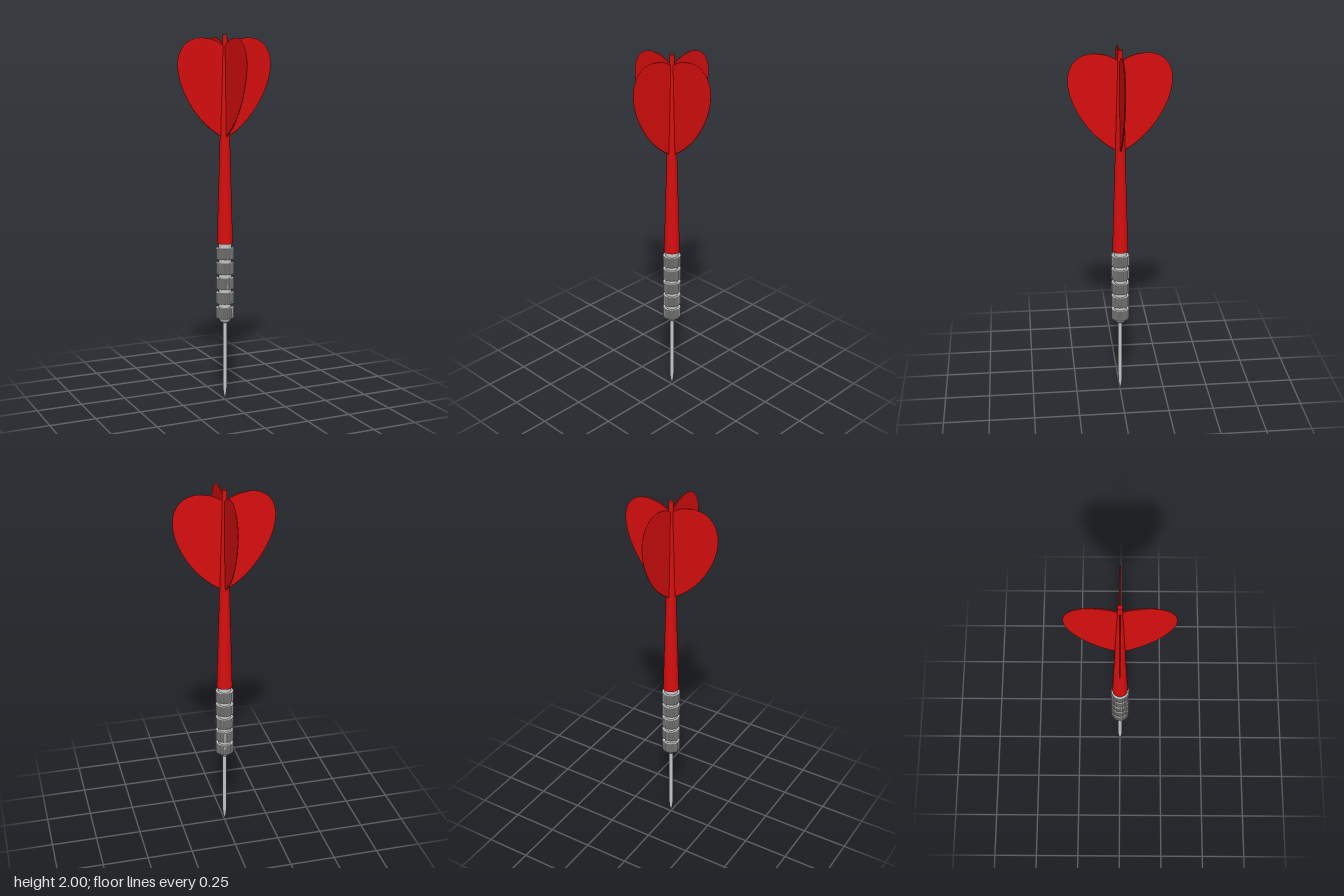
import * as THREE from 'three';

export function createModel() {
  const dart = new THREE.Group();
  dart.name = 'dart';
  const red = new THREE.MeshStandardMaterial({ name: 'red plastic', color: 0xd80e0e });
  const silver = new THREE.MeshStandardMaterial({ name: 'silver metal', color: 0xc6c6c6 });

  const add = (name, geometry, material) => {
    const mesh = new THREE.Mesh(geometry, material);
    mesh.name = name;
    dart.add(mesh);
    return mesh;
  };
  // Profile of [radius, height] pairs, listed from bottom to top
  const lathe = (profile, sides = 32) =>
    new THREE.LatheGeometry(profile.map(([r, y]) => new THREE.Vector2(r, y)), sides);

  // Steel point with a sharpened tip
  add('point', lathe([[0, 0], [0.003, 0.015], [0.008, 0.04], [0.011, 0.07], [0.0115, 0.1], [0.0115, 0.46]], 24), silver);

  // Barrel core with a rounded nose
  add('barrelNose', lathe([[0, 0.443], [0.018, 0.443], [0.026, 0.449], [0.034, 0.462], [0.037, 0.48]]), silver);
  const core = add('barrelCore', new THREE.CylinderGeometry(0.035, 0.035, 0.41, 32), silver);
  core.position.y = 0.682;

  // Knurled grip rings: toothed outline extruded upward
  const teeth = 28;
  const outline = new THREE.Shape();
  for (let i = 0; i < teeth * 4; i++) {
    const r = i % 4 < 2 ? 0.05 : 0.0465;
    const a = (i / (teeth * 4)) * Math.PI * 2;
    outline[i ? 'lineTo' : 'moveTo'](r * Math.cos(a), r * Math.sin(a));
  }
  outline.closePath();
  const ringGeometry = new THREE.ExtrudeGeometry(outline, { depth: 0.058, bevelEnabled: false });
  ringGeometry.rotateX(-Math.PI / 2);
  for (let i = 0; i < 5; i++) {
    add('gripRing' + (i + 1), ringGeometry, silver).position.y = 0.471 + i * 0.0823;
  }

  // Tapered shaft
  const shaft = add('shaft', new THREE.CylinderGeometry(0.012, 0.043, 1.115, 32), red);
  shaft.position.y = 0.885 + 1.115 / 2;

  // Four flights, each half of a heart, thinning towards the outer edge
  const half = new THREE.Shape();
  half.moveTo(0, 1.455);
  half.bezierCurveTo(0.12, 1.5, 0.27, 1.69, 0.27, 1.845);
  half.bezierCurveTo(0.27, 1.93, 0.215, 1.985, 0.135, 1.985);
  half.bezierCurveTo(0.085, 1.985, 0.035, 1.97, 0, 1.935);
  half.closePath();
  const flightGeometry = new THREE.ExtrudeGeometry(half, {
    depth: 0.003, curveSegments: 20,
    bevelEnabled: true, bevelThickness: 0.0025, bevelSize: 0.006, bevelOffset: -0.006, bevelSegments: 2,
  });
  flightGeometry.translate(0, 0, -0.0015);
  const p = flightGeometry.attributes.position;
  for (let i = 0; i < p.count; i++) p.setZ(i, p.getZ(i) * (1.15 - 1.4 * Math.max(0, p.getX(i))));
  flightGeometry.computeVertexNormals();
  for (let i = 0; i < 4; i++) {
    add('flight' + (i + 1), flightGeometry, red).rotation.y = (i * Math.PI) / 2;
  }

  return dart;
}
